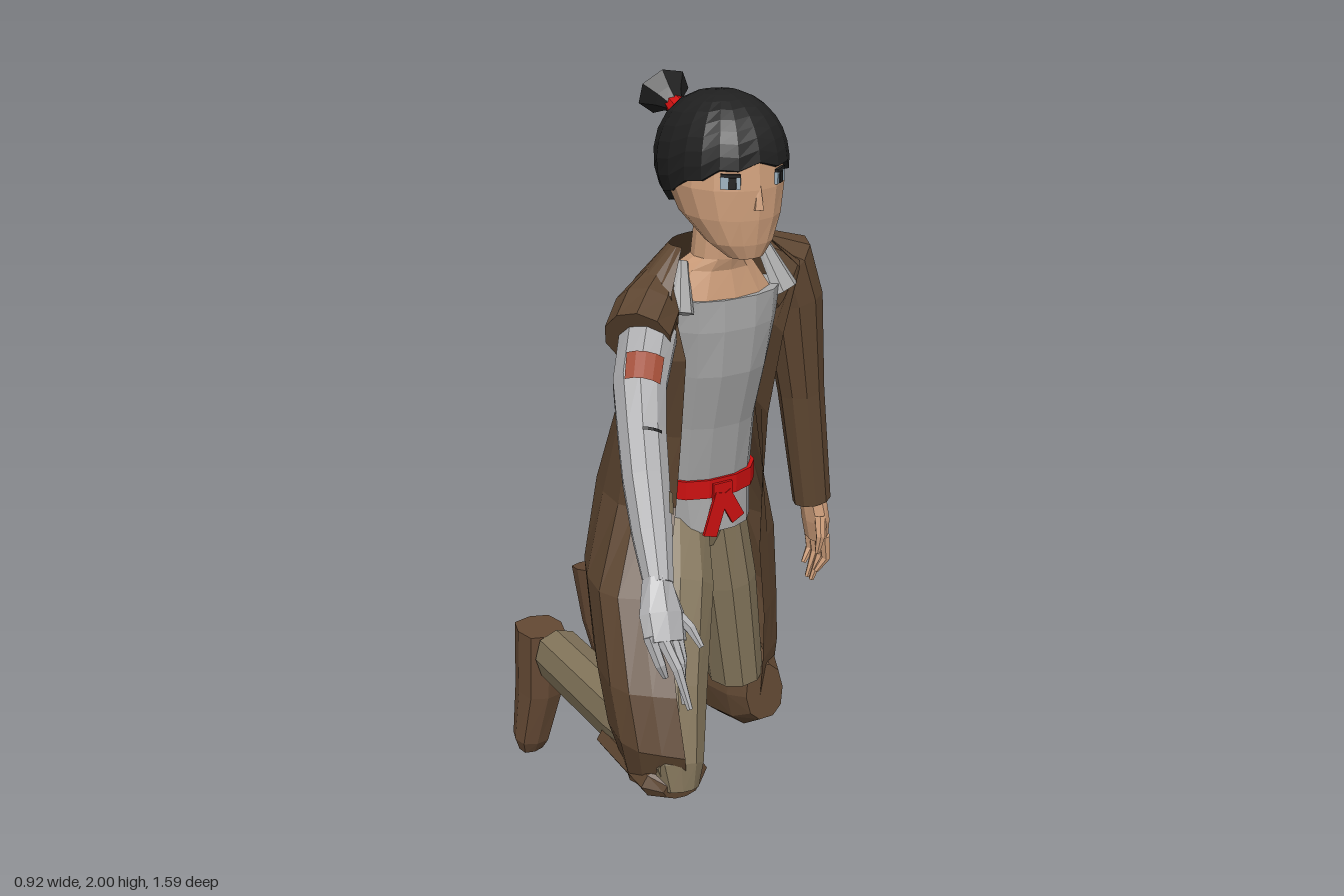
import * as THREE from 'three';

const V = (x, y, z) => new THREE.Vector3(x, y, z);
const mat = (name, color) => {
  const m = new THREE.MeshStandardMaterial({ color, flatShading: true, side: THREE.DoubleSide });
  m.name = name;
  return m;
};
const pow = (c, p) => Math.sign(c) * Math.abs(c) ** p;

// Skin rows of points into a faceted surface
function loft(rows, closed, caps) {
  const pos = [];
  const tri = (...p) => p.forEach(q => pos.push(q.x, q.y, q.z));
  const n = rows[0].length;
  for (let i = 0; i < rows.length - 1; i++) {
    for (let j = 0; j < (closed ? n : n - 1); j++) {
      const k = (j + 1) % n;
      const a = rows[i][j], b = rows[i][k], c = rows[i + 1][k], d = rows[i + 1][j];
      tri(a, b, c);
      tri(a, c, d);
    }
  }
  if (caps) [rows[0], rows[rows.length - 1]].forEach((r, e) => {
    const mid = r.reduce((s, p) => s.add(p), V(0, 0, 0)).divideScalar(n);
    r.forEach((p, j) => (e ? tri(mid, p, r[(j + 1) % n]) : tri(mid, r[(j + 1) % n], p)));
  });
  const g = new THREE.BufferGeometry();
  g.setAttribute('position', new THREE.Float32BufferAttribute(pos, 3));
  g.computeVertexNormals();
  return g;
}

// Rings along stations [x, y, z, radiusAcross, radiusDeep]; level keeps them horizontal, p below 1 squares them
function limb(st, { sides = 10, level = false, from = 0, to = Math.PI * 2, p = 1 } = {}) {
  const closed = to - from > 6.28;
  const pts = st.map(s => V(s[0], s[1], s[2]));
  const rows = st.map((s, i) => {
    const t = level ? V(0, 1, 0)
      : pts[Math.min(i + 1, pts.length - 1)].clone().sub(pts[Math.max(i - 1, 0)]).normalize();
    const u = V(1, 0, 0).addScaledVector(t, -t.x).normalize();
    const v = t.clone().cross(u);
    return Array.from({ length: closed ? sides : sides + 1 }, (_, j) => {
      const a = from + (to - from) * j / sides;
      return pts[i].clone().addScaledVector(u, pow(Math.cos(a), p) * s[3])
        .addScaledVector(v, pow(Math.sin(a), p) * (s[4] ?? s[3]));
    });
  });
  return loft(rows, closed, closed);
}

export function createModel() {
  const model = new THREE.Group();
  const coat = mat('coat brown', 0x5e4631), boot = mat('boot brown', 0x644934);
  const khaki = mat('trouser khaki', 0x82745a), shirt = mat('shirt grey', 0xa9a9a9);
  const armGrey = mat('arm grey', 0xacacae), skin = mat('skin', 0xd0a07c);
  const black = mat('hair black', 0x202020), red = mat('sash red', 0xcc1010);
  const rust = mat('rust', 0xa04c36), eyeBlue = mat('eye blue', 0x9fb4c2);
  const add = (name, geo, m) => {
    const mesh = new THREE.Mesh(geo, m);
    mesh.name = name;
    model.add(mesh);
    return mesh;
  };
  const plate = (name, m, [w, h], [x, y, z], ry = 0, rz = 0) => {
    const p = add(name, new THREE.BoxGeometry(w, h, 0.008), m);
    p.position.set(x, y, z);
    p.rotation.set(0, ry, rz);
  };

  // Torso and neck
  add('shirt', limb([
    [0.075, 0.85, 0.03, 0.125, 0.115], [0.07, 0.98, 0.02, 0.135, 0.118], [0.065, 1.15, 0.04, 0.135, 0.13],
    [0.065, 1.3, 0.07, 0.145, 0.14], [0.065, 1.42, 0.1, 0.155, 0.125], [0.065, 1.5, 0.115, 0.16, 0.11],
  ], { sides: 14, level: true, p: 0.85 }), shirt);
  add('neckAndChest', limb([
    [0.055, 1.49, 0.115, 0.155, 0.105], [0.045, 1.57, 0.135, 0.1, 0.075],
    [0.04, 1.6, 0.155, 0.065, 0.065], [0.04, 1.73, 0.17, 0.06, 0.06],
  ], { sides: 12, level: true }), skin);
  add('rightStrap', limb([[-0.085, 1.48, 0.205, 0.03, 0.018], [-0.055, 1.59, 0.15, 0.016, 0.012]], { sides: 6 }), shirt);
  add('leftStrap', limb([[0.23, 1.48, 0.17, 0.038, 0.018], [0.185, 1.605, 0.115, 0.018, 0.012]], { sides: 6 }), shirt);

  // Sash with knot and tails
  add('sash', limb([[0.07, 0.95, 0.025, 0.145, 0.124], [0.07, 1.0, 0.025, 0.145, 0.124]],
    { sides: 14, level: true, p: 0.85 }), red);
  plate('knot', red, [0.055, 0.05], [0.065, 0.965, 0.152]);
  plate('rightTail', red, [0.04, 0.12], [0.045, 0.905, 0.154], 0, -0.3);
  plate('leftTail', red, [0.04, 0.09], [0.09, 0.92, 0.154], 0, 0.5);

  // Open coat: each row runs from the right front edge round the back to the left front edge
  const coatRows = [
    [1.62, -0.05, 0.14, -0.06, 0.10, -0.02, 0.05, 0.05, 0.03, 0.13, 0.03, 0.18, 0.08, 0.19, 0.13],
    [1.53, -0.12, 0.21, -0.19, 0.16, -0.1, 0.02, 0.06, -0.03, 0.22, -0.03, 0.33, 0.05, 0.27, 0.17],
    [1.37, -0.09, 0.23, -0.17, 0.17, -0.1, -0.02, 0.05, -0.1, 0.18, -0.1, 0.25, 0.02, 0.22, 0.18],
    [1.15, -0.07, 0.175, -0.16, 0.1, -0.1, -0.1, 0.04, -0.18, 0.17, -0.16, 0.23, 0, 0.2, 0.15],
    [0.95, -0.07, 0.15, -0.18, 0.08, -0.14, -0.14, 0.03, -0.22, 0.19, -0.2, 0.28, -0.02, 0.21, 0.12],
    [0.75, -0.15, 0.24, -0.27, 0.14, -0.2, -0.1, 0.03, -0.24, 0.24, -0.2, 0.34, -0.03, 0.21, 0.11],
    [0.54, -0.19, 0.36, -0.3, 0.25, -0.22, -0.02, 0.04, -0.245, 0.28, -0.2, 0.35, -0.02, 0.23, 0.11],
    [0.4, -0.2, 0.42, -0.3, 0.3, -0.22, 0.05, 0.05, -0.07, 0.28, -0.1, 0.345, 0, 0.23, 0.11],
    [0.27, -0.17, 0.38, -0.27, 0.28, -0.18, 0.1, 0.08, 0, 0.25, -0.08, 0.33, 0, 0.23, 0.1],
  ].map(([y, ...p], row) => {
    const keys = [];
    // the hem rises into an arch between the legs
    for (let i = 0; i < p.length; i += 2) {
      keys.push(V(p[i], y + (row === 8 && i === 6 ? 0.06 : 0), p[i + 1]));
    }
    return new THREE.CatmullRomCurve3(keys).getPoints(16);
  });
  add('coatBody', loft(coatRows, false, false), coat);
  add('leftSleeve', limb([
    [0.2, 1.57, 0.05, 0.045, 0.05], [0.295, 1.51, 0.05, 0.09, 0.075], [0.33, 1.41, 0.05, 0.082, 0.075],
    [0.365, 1.15, 0.055, 0.062, 0.06], [0.405, 0.83, 0.065, 0.053, 0.048],
  ]), coat);
  add('rightSleeve', limb([
    [-0.09, 1.53, 0.1, 0.05, 0.06], [-0.15, 1.48, 0.15, 0.08, 0.085], [-0.21, 1.44, 0.21, 0.082, 0.085],
  ]), coat);
  add('leftKneeWrap', limb([
    [0.245, 0.29, 0.1, 0.06, 0.08], [0.245, 0.28, 0.04, 0.09, 0.115], [0.235, 0.28, -0.05, 0.1, 0.13],
    [0.215, 0.3, -0.2, 0.09, 0.135], [0.2, 0.305, -0.32, 0.085, 0.135],
  ], { p: 0.85 }), coat);
  add('rightKneeWrap', limb([
    [-0.19, 0.29, 0.385, 0.05, 0.03], [-0.185, 0.295, 0.34, 0.095, 0.05], [-0.18, 0.29, 0.08, 0.09, 0.045],
  ]), coat);

  // Trousers
  add('hips', limb([[0.065, 0.78, 0.02, 0.07, 0.07], [0.065, 0.88, 0.02, 0.12, 0.1]], { level: true }), khaki);
  add('rightThigh', limb([
    [0.01, 0.87, 0.02, 0.08, 0.075], [-0.06, 0.72, 0.13, 0.1, 0.1],
    [-0.14, 0.5, 0.25, 0.09, 0.095], [-0.18, 0.34, 0.345, 0.068, 0.07], [-0.185, 0.28, 0.365, 0.05, 0.05],
  ]), khaki);
  add('leftThigh', limb([
    [0.12, 0.87, 0.02, 0.08, 0.085], [0.15, 0.65, 0.03, 0.085, 0.09], [0.19, 0.34, 0.03, 0.075, 0.085],
  ]), khaki);
  add('rightShin', limb([
    [-0.185, 0.35, 0.36, 0.06, 0.06], [-0.195, 0.345, 0.1, 0.068, 0.075], [-0.195, 0.34, -0.3, 0.068, 0.075],
  ], { sides: 8, p: 0.8 }), khaki);
  add('leftShin', limb([[0.19, 0.32, -0.15, 0.08, 0.09], [0.155, 0.31, -0.66, 0.068, 0.09]],
    { sides: 8, p: 0.8 }), khaki);

  // Boots, toes on the ground
  add('rightBoot', limb([
    [-0.215, 0.4, -0.367, 0.068, 0.067], [-0.225, 0.2, -0.37, 0.062, 0.065],
    [-0.25, 0.04, -0.38, 0.05, 0.045], [-0.25, 0.003, -0.385, 0.035, 0.03],
  ], { sides: 8, p: 0.7 }), boot);
  add('leftBoot', limb([
    [0.135, 0.345, -0.727, 0.046, 0.075], [0.14, 0.18, -0.68, 0.048, 0.062],
    [0.15, 0.04, -0.62, 0.045, 0.045], [0.15, 0.01, -0.61, 0.035, 0.03],
  ], { sides: 8, p: 0.7 }), boot);

  // Grey right arm with worn patches
  add('rightArm', limb([[-0.17, 1.44, 0.19, 0.07], [-0.25, 1.36, 0.29, 0.065], [-0.29, 1.28, 0.37, 0.058],
    [-0.325, 1.2, 0.45, 0.055], [-0.36, 1.11, 0.54, 0.047], [-0.39, 1.03, 0.62, 0.034]]), armGrey);
  const patch = (name, m, p, q, from, to) => add(name, limb([p, q], { sides: 4, from, to }), m);
  patch('shoulderPatch', rust, [-0.226, 1.385, 0.26, 0.072], [-0.262, 1.345, 0.31, 0.068], 1.1, 2.4);
  patch('upperScratch', black, [-0.295, 1.27, 0.38, 0.061], [-0.298, 1.265, 0.385, 0.061], 1.1, 1.9);
  patch('lowerPatch', khaki, [-0.335, 1.17, 0.48, 0.056], [-0.35, 1.135, 0.515, 0.053], 0.6, 1);

  // Hands
  add('rightPalm', limb([[-0.39, 1.04, 0.61, 0.034, 0.034], [-0.405, 0.98, 0.66, 0.054, 0.03],
    [-0.415, 0.93, 0.695, 0.05, 0.024]], { sides: 8 }), armGrey);
  add('leftPalm', limb([[0.41, 0.85, 0.06, 0.034, 0.04], [0.42, 0.77, 0.065, 0.03, 0.052],
    [0.425, 0.71, 0.065, 0.022, 0.047]], { sides: 8 }), skin);
  const finger = (name, m, a, b, c) =>
    add(name, limb([[...a, 0.016], [...b, 0.013], [...c, 0.007]], { sides: 6 }), m);
  [[-0.45, -0.43, 0.86, 0.72], [-0.425, -0.41, 0.81, 0.79], [-0.4, -0.4, 0.8, 0.75], [-0.385, -0.385, 0.83, 0.715]]
    .forEach(([x, tx, ty, tz], i) => finger('rightFinger' + (i + 1), armGrey,
      [x, 0.95, 0.685], [(x + tx) / 2, 0.89, 0.715 + (tz - 0.72) * 0.5], [tx, ty, tz]));
  finger('rightThumb', armGrey, [-0.375, 0.98, 0.65], [-0.355, 0.95, 0.7], [-0.345, 0.915, 0.73]);
  [0, 1, 2, 3].forEach(i => finger('leftFinger' + (i + 1), skin, [0.425, 0.73, 0.028 + i * 0.025],
    [0.435, 0.66, 0.025 + i * 0.025], [0.41, i % 3 ? 0.585 : 0.62, 0.03 + i * 0.02]));
  finger('leftThumb', skin, [0.41, 0.79, 0.1], [0.4, 0.74, 0.12], [0.395, 0.69, 0.115]);

  // Head and face
  add('head', limb([
    [0.04, 1.625, 0.275, 0.045, 0.04], [0.04, 1.66, 0.25, 0.083, 0.075], [0.04, 1.72, 0.205, 0.118, 0.128],
    [0.04, 1.79, 0.18, 0.135, 0.155], [0.04, 1.86, 0.18, 0.128, 0.148], [0.04, 1.92, 0.17, 0.08, 0.09],
  ], { sides: 16, level: true }), skin);
  add('nose', limb([[0.04, 1.745, 0.325, 0.016, 0.02], [0.04, 1.8, 0.325, 0.006, 0.01]],
    { sides: 5, level: true }), skin);
  for (const s of [-1, 1]) {
    const side = s < 0 ? 'right' : 'left', at = (d, z) => [0.04 + s * d, 1.81, z];
    plate(side + 'Eye', eyeBlue, [0.046, 0.028], at(0.066, 0.313), s * 0.64);
    plate(side + 'Pupil', black, [0.018, 0.026], at(0.064, 0.318), s * 0.64);
    plate(side + 'Lash', black, [0.046, 0.007], [0.04 + s * 0.066, 1.827, 0.314], s * 0.64);
  }

  // Hair cap, short over the face and long at the nape
  const hairRows = [];
  for (let i = 0; i <= 8; i++) {
    hairRows.push(Array.from({ length: 20 }, (_, j) => {
      const a = j / 20 * Math.PI * 2, c = Math.cos(a);
      const end = 1.92 - 0.55 * c + 0.08 * c * c + (j % 2 ? 0.05 : -0.03);
      const t = 0.02 + (end - 0.02) * i / 8, r = Math.sin(t) ** 0.85;
      return V(0.04 + 0.143 * r * pow(Math.sin(a), 0.85), 1.83 + 0.158 * Math.cos(t),
        0.165 + 0.17 * r * pow(c, 0.85));
    }));
  }
  add('hair', loft(hairRows.reverse(), true, true), black);
  add('hairTie', limb([[0.035, 1.895, 0.03, 0.04, 0.03], [0.03, 1.925, -0.04, 0.024, 0.02]], { sides: 8 }), red);
  add('ponytail', limb([[0.03, 1.92, -0.03, 0.024, 0.02], [0.03, 1.93, -0.055, 0.04, 0.035],
    [0.03, 1.942, -0.085, 0.07, 0.062]], { sides: 7 }), black);
  return model;
}
